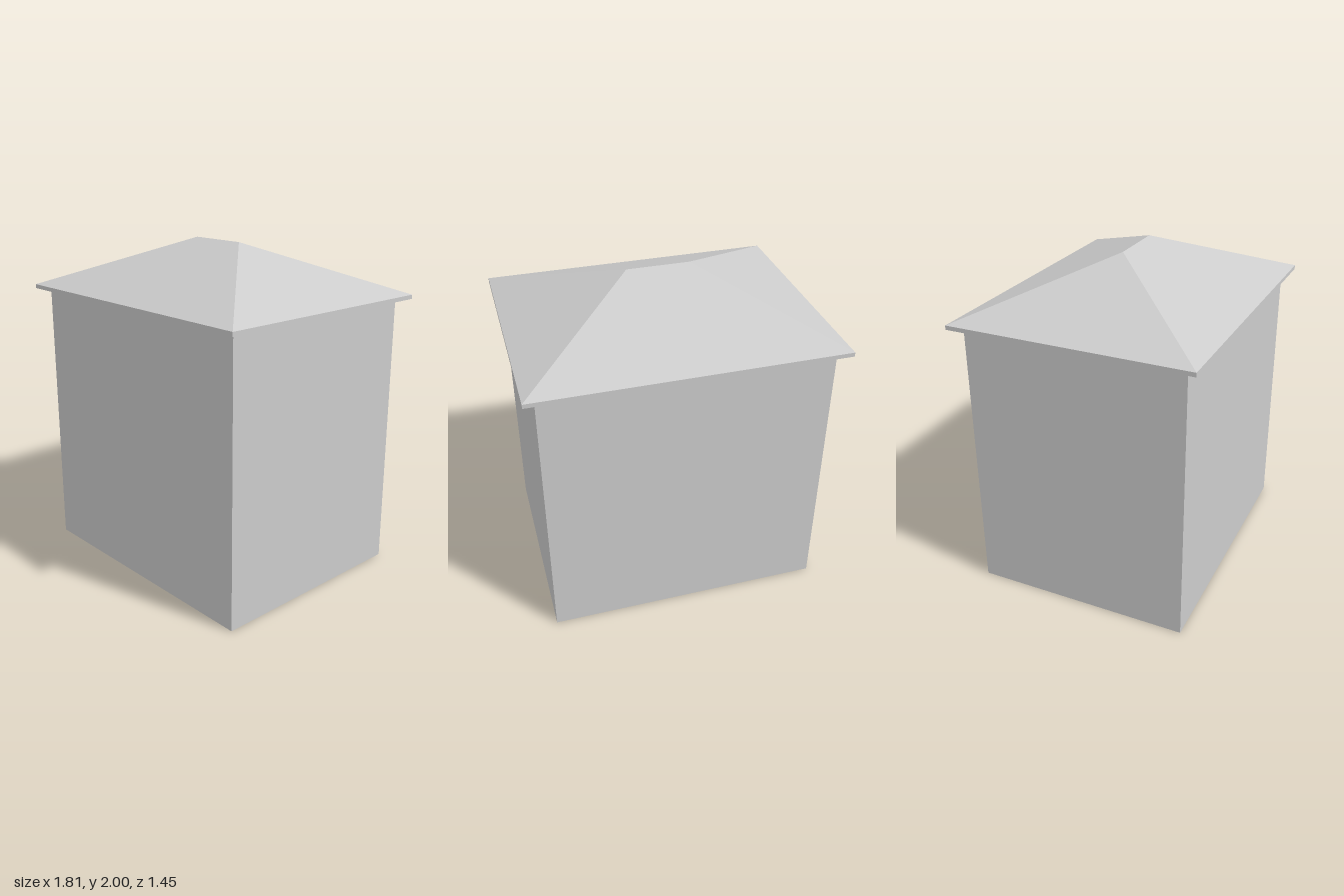
import * as THREE from 'three';

// Flat-faced open shell through a stack of rectangles [halfX, halfZ, y]
function loft(rings) {
  const rows = rings.map(([x, z, y]) =>
    [[-x, z], [x, z], [x, -z], [-x, -z]].map(([px, pz]) => new THREE.Vector3(px, y, pz)));
  const points = [];
  for (let r = 0; r < rows.length - 1; r++) {
    for (let i = 0; i < 4; i++) {
      const j = (i + 1) % 4;
      const a = rows[r][i], b = rows[r][j], c = rows[r + 1][j], d = rows[r + 1][i];
      points.push(a, b, c);
      if (!c.equals(d)) points.push(a, c, d); // hip ends are single triangles
    }
  }
  const geometry = new THREE.BufferGeometry().setFromPoints(points);
  geometry.computeVertexNormals();
  return geometry;
}

export function createModel() {
  const model = new THREE.Group();
  model.name = 'building';

  const grey = new THREE.MeshStandardMaterial({ color: 0xcccccc, side: THREE.DoubleSide });
  grey.name = 'light grey';

  const add = (name, geometry, x = 0, y = 0, z = 0) => {
    const mesh = new THREE.Mesh(geometry, grey);
    mesh.name = name;
    mesh.position.set(x, y, z);
    model.add(mesh);
  };

  // Walls, open below and running up to the roof slopes
  const wallX = 0.835, wallZ = 0.655;
  add('walls', loft([[wallX, wallZ, 0], [wallX, wallZ, 1.728]]));

  // Hipped roof with a narrow fascia and an open underside
  add('roof', loft([[0.903, 0.723, 1.675], [0.903, 0.723, 1.7], [0.185, 0, 2]]));

  // Raised panels on the inside of the front wall
  const panel = (name, x, bottom, width, height, depth) =>
    add(name, new THREE.BoxGeometry(width, height, depth), x, bottom + height / 2, wallZ - 0.003 - depth / 2);
  panel('centrePanel', 0, 0.29, 0.21, 0.29, 0.06);
  for (const side of [-1, 1]) panel('sidePanel', side * 0.5, 0.42, 0.17, 0.15, 0.04);
  panel('upperPanel', 0, 0.76, 1.3, 0.4, 0.09);

  return model;
}
